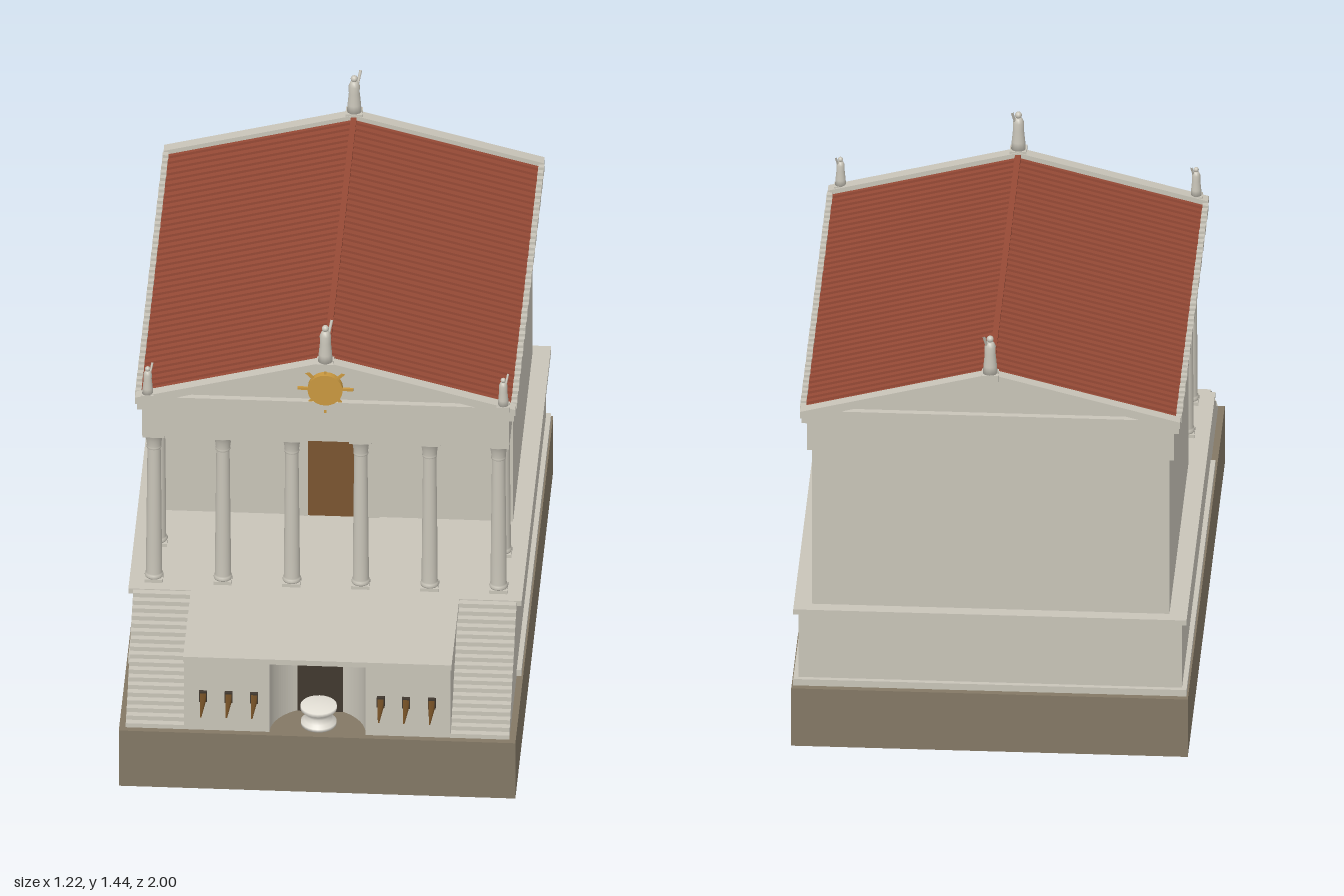
import * as THREE from 'three';

const mat = (color) => new THREE.MeshStandardMaterial({ color });
const stone = mat(0xc8c4b8), earth = mat(0x837865), red = mat(0x964a36), wood = mat(0x7a5530);
const dark = mat(0x40382f), gold = mat(0xc9983f), bronze = mat(0x7a5428), marble = mat(0xe4e0d6);

export function createModel() {
  const model = new THREE.Group();

  const add = (name, geometry, material = stone, parent = model) => {
    const mesh = new THREE.Mesh(geometry, material);
    mesh.name = name;
    parent.add(mesh);
    return mesh;
  };
  // Box given by its limits on each axis
  const box = (name, x0, x1, y0, y1, z0, z1, material, parent) => {
    const mesh = add(name, new THREE.BoxGeometry(x1 - x0, y1 - y0, z1 - z0), material, parent);
    mesh.position.set((x0 + x1) / 2, (y0 + y1) / 2, (z0 + z1) / 2);
    return mesh;
  };
  const polygon = (pts) => new THREE.Shape(pts.map(([x, y]) => new THREE.Vector2(x, y)));
  const extrude = (shape, depth) =>
    new THREE.ExtrudeGeometry(shape, { depth, bevelEnabled: false, curveSegments: 24 });
  const lathe = (pts, sides) =>
    new THREE.LatheGeometry(pts.map(([r, y]) => new THREE.Vector2(r, y)), sides);

  // Ground block and podium with its mouldings
  box('groundBlock', -0.61, 0.61, 0, 0.2, -1, 0.9, earth);
  box('podium', -0.59, 0.59, 0.2, 0.448, -0.965, 0.5);
  box('podiumFoot', -0.605, 0.605, 0.2, 0.222, -0.98, 0.51);
  box('podiumCornice', -0.605, 0.605, 0.447, 0.465, -0.98, 0.5);

  // Front platform with a round niche
  const plan = new THREE.Shape();
  plan.moveTo(-0.41, -0.5);
  plan.lineTo(-0.41, -0.88);
  plan.lineTo(-0.148, -0.88);
  plan.absarc(0, -0.88, 0.148, Math.PI, 0, true);
  plan.lineTo(0.41, -0.88);
  plan.lineTo(0.41, -0.5);
  add('speakersPlatform', extrude(plan, 0.25).rotateX(-Math.PI / 2)).position.y = 0.2;
  box('platformTop', -0.413, 0.413, 0.447, 0.465, 0.495, 0.885);
  box('nicheBack', -0.07, 0.07, 0.2, 0.447, 0.735, 0.752, dark);

  // Altar in the niche
  add('altar', lathe([[0, 0], [0.055, 0], [0.055, 0.01], [0.044, 0.018], [0.041, 0.035],
    [0.045, 0.047], [0.056, 0.054], [0.056, 0.066], [0, 0.066]], 24), marble)
    .position.set(0, 0.2, 0.82);

  // Stairs on both sides of the platform
  const steps = 18, outline = [[0.5, 0.2], [0.88, 0.2]];
  for (let i = 0; i < steps; i++) {
    const z = 0.88 - (0.38 * i) / steps, y = 0.2 + (0.262 * (i + 1)) / steps;
    outline.push([z, y], [z - 0.38 / steps, y]);
  }
  for (const s of [-1, 1]) {
    const stairs = add(s > 0 ? 'leftStairs' : 'rightStairs',
      extrude(polygon(outline), 0.18).rotateY(-Math.PI / 2));
    stairs.position.x = s > 0 ? 0.59 : -0.41;
  }

  // Bronze rams on the platform front
  const ramGeometry = new THREE.CylinderGeometry(0.003, 0.013, 0.11, 4, 1)
    .rotateY(Math.PI / 4).rotateX(Math.PI / 2).scale(1, 1.6, 1);
  for (const s of [-1, 1]) for (const x of [0.195, 0.273, 0.352]) {
    box('ramSocket', s * x - 0.012, s * x + 0.012, 0.307, 0.343, 0.875, 0.891, dark);
    add('ram', ramGeometry, bronze).position.set(s * x, 0.323, 0.945);
  }

  // Cella with door
  box('cella', -0.55, 0.55, 0.465, 1.005, -0.94, 0.04);
  box('doorLintel', -0.145, 0.145, 0.8, 0.832, 0.03, 0.05);
  for (const s of [-1, 1]) {
    const [a, b] = [s * 0.08, s * 0.14].sort((p, q) => p - q);
    box('doorJamb', a, b, 0.465, 0.8, 0.03, 0.047);
  }
  box('door', -0.08, 0.08, 0.465, 0.8, 0.03, 0.043, wood);

  // Columns: six in front, one more behind each corner
  const columnGeometry = lathe([[0, 0.01], [0.027, 0.01], [0.029, 0.016], [0.027, 0.023],
    [0.0245, 0.027], [0.0245, 0.1], [0.0205, 0.475], [0.023, 0.477], [0.023, 0.482],
    [0.022, 0.486], [0.025, 0.508], [0.031, 0.525], [0.034, 0.53], [0, 0.53]], 20);
  const column = (x, z) => {
    const group = new THREE.Group();
    group.name = 'column';
    group.position.set(x, 0.465, z);
    box('plinth', -0.028, 0.028, 0, 0.011, -0.028, 0.028, stone, group);
    add('shaft', columnGeometry, stone, group);
    box('abacus', -0.034, 0.034, 0.529, 0.541, -0.034, 0.034, stone, group);
    model.add(group);
  };
  for (let i = 0; i < 6; i++) column(-0.53 + i * 0.212, 0.435);
  for (const s of [-1, 1]) column(s * 0.53, 0.225);

  // Entablature and cornice
  box('entablature', -0.565, 0.565, 1.005, 1.106, -0.947, 0.475);
  box('cornice', -0.58, 0.58, 1.105, 1.131, -0.96, 0.485);

  // Roof body, cover tiles and eave ornaments
  const roof = add('roof', extrude(polygon([[-0.575, 1.13], [0.575, 1.13], [0.575, 1.136],
    [0, 1.284], [-0.575, 1.136]]), 1.405), red);
  roof.position.z = -0.945;
  const slope = Math.atan2(0.148, 0.575), length = Math.hypot(0.148, 0.575);
  const tileGeometry = new THREE.BoxGeometry(length, 0.012, 0.013);
  const rows = 42;
  for (let i = 0; i < rows; i++) {
    const z = 0.44 - (1.365 * i) / (rows - 1);
    for (const s of [-1, 1]) {
      const tile = add('coverTile', tileGeometry, red);
      tile.position.set(s * 0.2875, 1.212, z);
      tile.rotation.z = -s * slope;
      box('eaveOrnament', s * 0.578 - 0.009, s * 0.578 + 0.009, 1.13, 1.151, z - 0.009, z + 0.009);
    }
  }
  box('ridgeCap', -0.009, 0.009, 1.275, 1.295, -0.945, 0.46, red);

  // Pediments: raised frame around a recessed triangle
  const frame = polygon([[-0.585, 1.13], [0.585, 1.13], [0.585, 1.152], [0, 1.302], [-0.585, 1.152]]);
  frame.holes.push(polygon([[-0.46, 1.157], [0, 1.277], [0.46, 1.157]]));
  const frameGeometry = extrude(frame, 0.036);
  const fieldGeometry = extrude(polygon([[-0.5, 1.14], [0.5, 1.14], [0, 1.278]]), 0.015);
  for (const [name, zFrame, zField] of [['front', 0.457, 0.458], ['back', -0.975, -0.955]]) {
    add(name + 'PedimentFrame', frameGeometry).position.z = zFrame;
    add(name + 'PedimentField', fieldGeometry).position.z = zField;
  }

  // Golden sun in the front pediment
  const sun = new THREE.Group();
  sun.name = 'sun';
  sun.position.set(0, 1.203, 0.487);
  model.add(sun);
  add('sunDisc', new THREE.CylinderGeometry(0.054, 0.054, 0.022, 24).rotateX(Math.PI / 2), gold, sun);
  for (let i = 0; i < 8; i++) {
    const a = (i * Math.PI) / 4;
    const ray = add('sunRay', new THREE.BoxGeometry(0.04, 0.008, 0.008), gold, sun);
    ray.position.set(Math.cos(a) * 0.066, Math.sin(a) * 0.066, 0);
    ray.rotation.z = a;
  }

  // Robed statues on the gable tips and front corners
  const robe = lathe([[0, 0], [0.023, 0], [0.021, 0.03], [0.017, 0.07], [0.0175, 0.095],
    [0.012, 0.108], [0.006, 0.112], [0, 0.112]], 14);
  const statue = (x, y, z, scale) => {
    const group = new THREE.Group();
    group.name = 'roofStatue';
    group.position.set(x, y, z);
    group.scale.setScalar(scale);
    box('statueBase', -0.026, 0.026, -0.02, 0.004, -0.024, 0.024, stone, group);
    add('robe', robe, stone, group);
    add('head', new THREE.SphereGeometry(0.011, 12, 8), stone, group).position.y = 0.12;
    const arm = new THREE.LineCurve3(new THREE.Vector3(0.01, 0.098, -0.004),
      new THREE.Vector3(0.019, 0.14, -0.02));
    add('raisedArm', new THREE.TubeGeometry(arm, 1, 0.0045, 8), stone, group);
    model.add(group);
  };
  statue(0, 1.3, 0.485, 1);
  statue(0, 1.3, -0.965, 1);
  for (const s of [-1, 1]) statue(s * 0.547, 1.16, 0.48, 0.75);

  return model;
}
